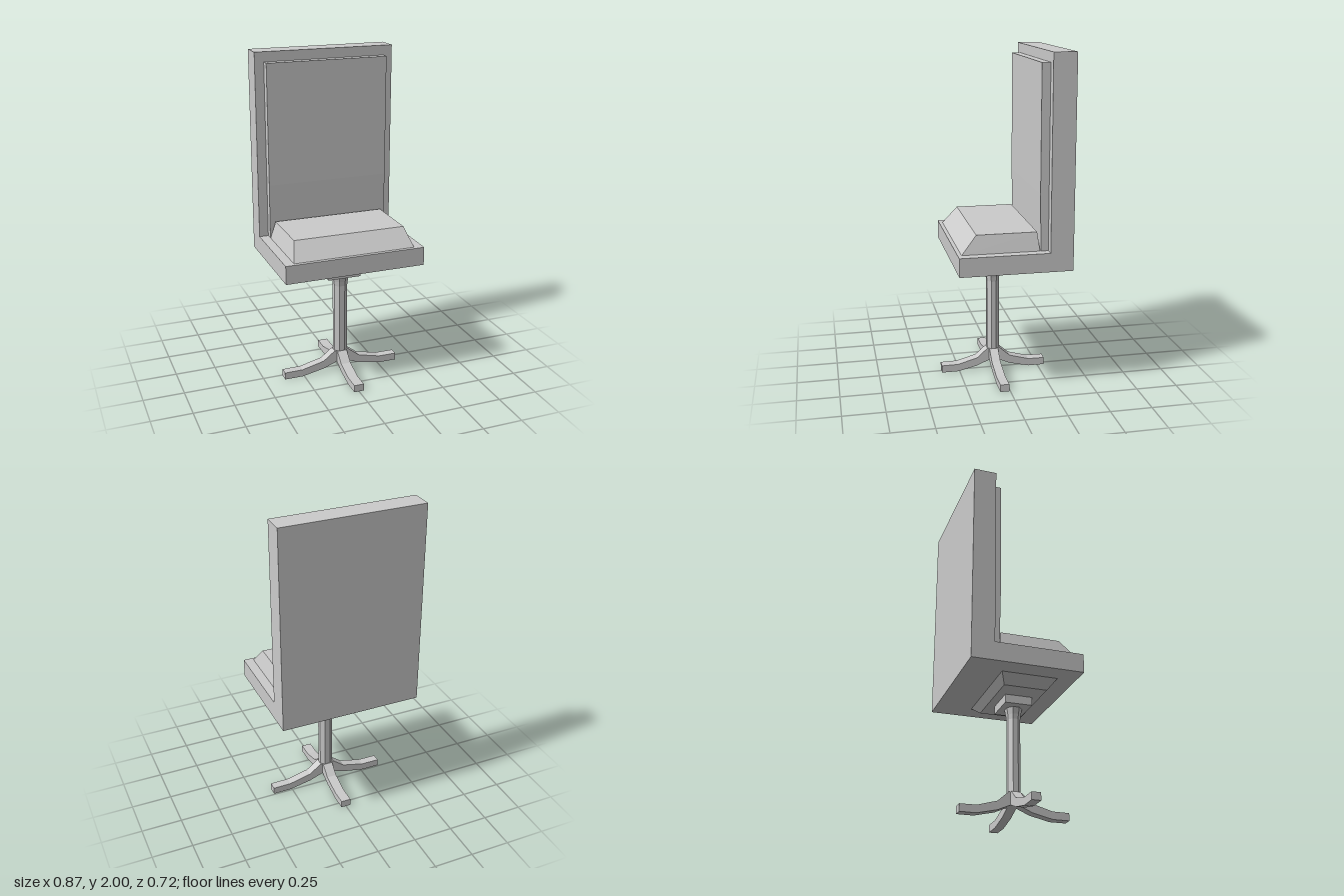
import * as THREE from 'three';

const material = new THREE.MeshStandardMaterial({ color: 0xcccccc, flatShading: true });

function addMesh(parent, name, geometry) {
  const mesh = new THREE.Mesh(geometry, material);
  mesh.name = name;
  parent.add(mesh);
  return mesh;
}

// Extrudes an outline of [a, b] points, centred on its thickness
function slab(points, thickness) {
  const shape = new THREE.Shape(points.map(([a, b]) => new THREE.Vector2(a, b)));
  return new THREE.ExtrudeGeometry(shape, { depth: thickness, bevelEnabled: false })
    .translate(0, 0, -thickness / 2);
}

// Side outline of [z, y] points, extruded across x
const sideSlab = (points, width) =>
  slab(points.map(([z, y]) => [-z, y]), width).rotateY(Math.PI / 2);

// Box whose bottom and top rectangles differ: { x: half width, z0, z1, y }
function taperedBox(bottom, top) {
  const geometry = new THREE.BoxGeometry(2, 2, 2);
  const p = geometry.attributes.position;
  for (let i = 0; i < p.count; i++) {
    const r = p.getY(i) > 0 ? top : bottom;
    p.setXYZ(i, Math.sign(p.getX(i)) * r.x, r.y, p.getZ(i) > 0 ? r.z1 : r.z0);
  }
  geometry.computeVertexNormals();
  return geometry;
}

export function createModel() {
  const chair = new THREE.Group();
  chair.name = 'chair';

  // L-shaped shell: seat base and backrest in one piece
  addMesh(chair, 'seatAndBackShell', sideSlab([
    [0.31, 0.75], [0.31, 0.863], [-0.22, 0.863], [-0.22, 2], [-0.357, 2], [-0.357, 0.75],
  ], 0.872));

  // Cushions
  addMesh(chair, 'backCushion', sideSlab([
    [-0.176, 0.86], [-0.17, 1.2], [-0.17, 1.94], [-0.225, 1.94], [-0.225, 0.86],
  ], 0.76));
  addMesh(chair, 'seatCushion', taperedBox(
    { x: 0.38, z0: -0.172, z1: 0.29, y: 0.86 },
    { x: 0.348, z0: -0.16, z1: 0.197, y: 0.97 },
  ));

  // Tapered plate and mounting block under the seat
  addMesh(chair, 'underSeatPlate', taperedBox(
    { x: 0.235, z0: -0.1, z1: 0.16, y: 0.7 },
    { x: 0.31, z0: -0.138, z1: 0.2, y: 0.752 },
  ));
  addMesh(chair, 'mountBlock', new THREE.BoxGeometry(0.21, 0.055, 0.165))
    .position.set(0, 0.6775, 0.033);

  // Pedestal, slightly narrower front to back
  const pedestal = new THREE.Group();
  pedestal.name = 'pedestal';
  pedestal.position.z = 0.034;
  pedestal.scale.z = 0.87;
  chair.add(pedestal);

  // Octagonal column, flared at the top
  const profile = [[0, 0.1], [0.046, 0.1], [0.046, 0.58], [0.05, 0.61], [0.06, 0.655], [0, 0.655]];
  addMesh(pedestal, 'column', new THREE.LatheGeometry(
    profile.map(([r, y]) => new THREE.Vector2(r, y)), 8, Math.PI / 8));

  // Four curved feet
  for (let i = 0; i < 4; i++) {
    addMesh(pedestal, 'foot', slab([
      [0, 0.062], [0.035, 0.06], [0.12, 0.028], [0.26, 0], [0.376, 0],
      [0.376, 0.045], [0.26, 0.046], [0.12, 0.08], [0.045, 0.138], [0, 0.138],
    ], 0.062)).rotation.y = i * Math.PI / 2;
  }

  return chair;
}
